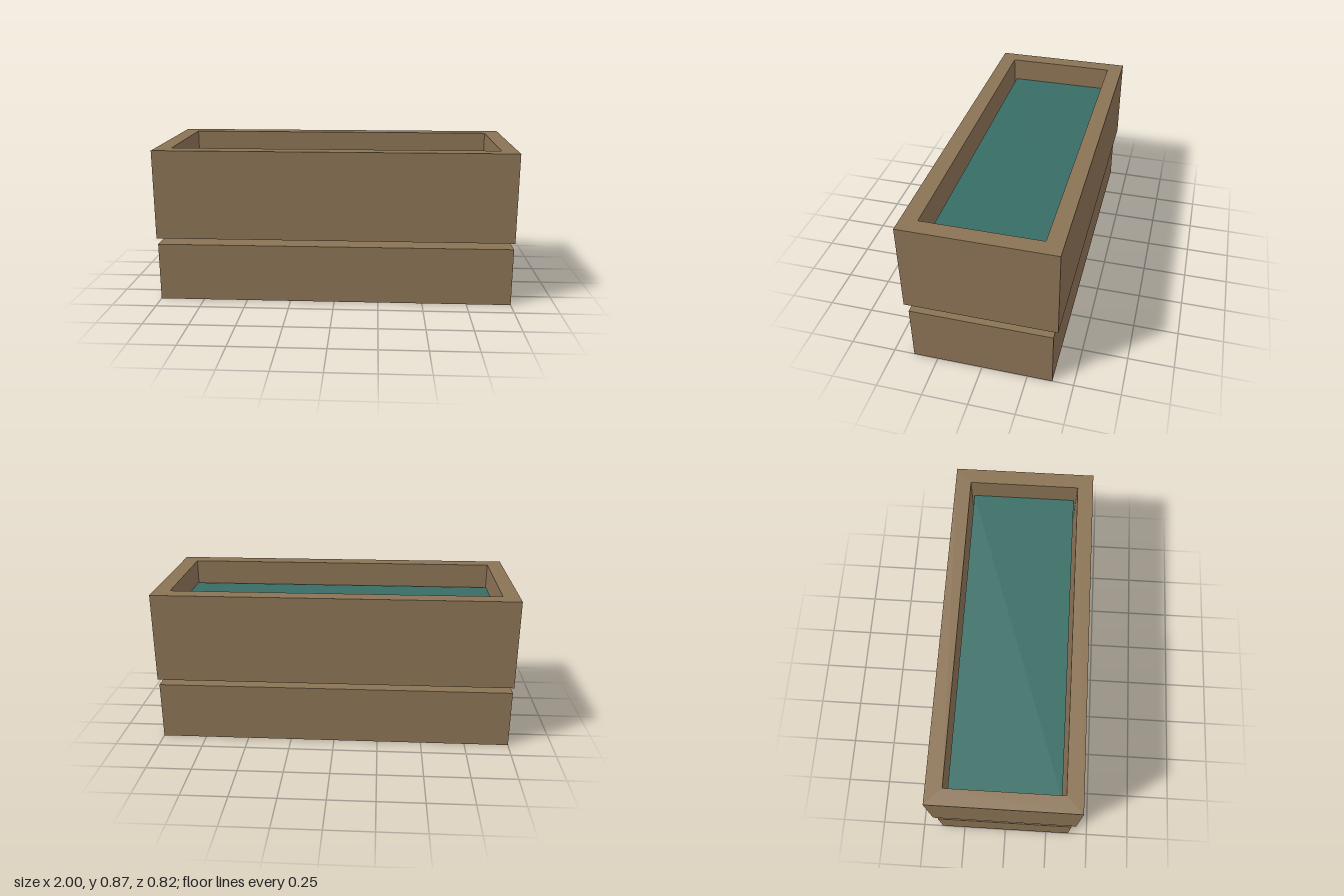
import * as THREE from 'three';

const wood = new THREE.MeshStandardMaterial({ color: 0x8b7355 });
wood.name = 'brown wood';
const teal = new THREE.MeshStandardMaterial({ color: 0x386d66 });
teal.name = 'teal filling';

// Box placed by the height of its underside
function box(name, material, w, h, d, y) {
  const mesh = new THREE.Mesh(new THREE.BoxGeometry(w, h, d), material);
  mesh.name = name;
  mesh.position.y = y + h / 2;
  return mesh;
}

// Closed rectangular outline, usable as shape or hole
function rectangle(path, x, y) {
  path.moveTo(-x, -y);
  path.lineTo(x, -y);
  path.lineTo(x, y);
  path.lineTo(-x, y);
  path.closePath();
  return path;
}

export function createModel() {
  const model = new THREE.Group();
  model.name = 'trough';

  // Solid base block, slightly narrower than the basin and set apart from it
  model.add(box('base', wood, 2, 0.328, 0.771, 0));

  // Basin: floor plus a one-piece rectangular wall
  const floorY = 0.37, floorH = 0.06, topY = 0.87;
  model.add(box('basinFloor', wood, 2, floorH, 0.817, floorY));

  const outline = rectangle(new THREE.Shape(), 1, 0.4085);
  outline.holes.push(rectangle(new THREE.Path(), 0.91, 0.318));
  const wallY = floorY + floorH;
  const wallGeometry = new THREE.ExtrudeGeometry(outline, { depth: topY - wallY, bevelEnabled: false });
  wallGeometry.rotateX(-Math.PI / 2);
  const walls = new THREE.Mesh(wallGeometry, wood);
  walls.name = 'basinWalls';
  walls.position.y = wallY;
  model.add(walls);

  // Filling, with a narrow gap along the front and back walls
  model.add(box('filling', teal, 1.82, 0.73 - wallY, 0.608, wallY));

  return model;
}
